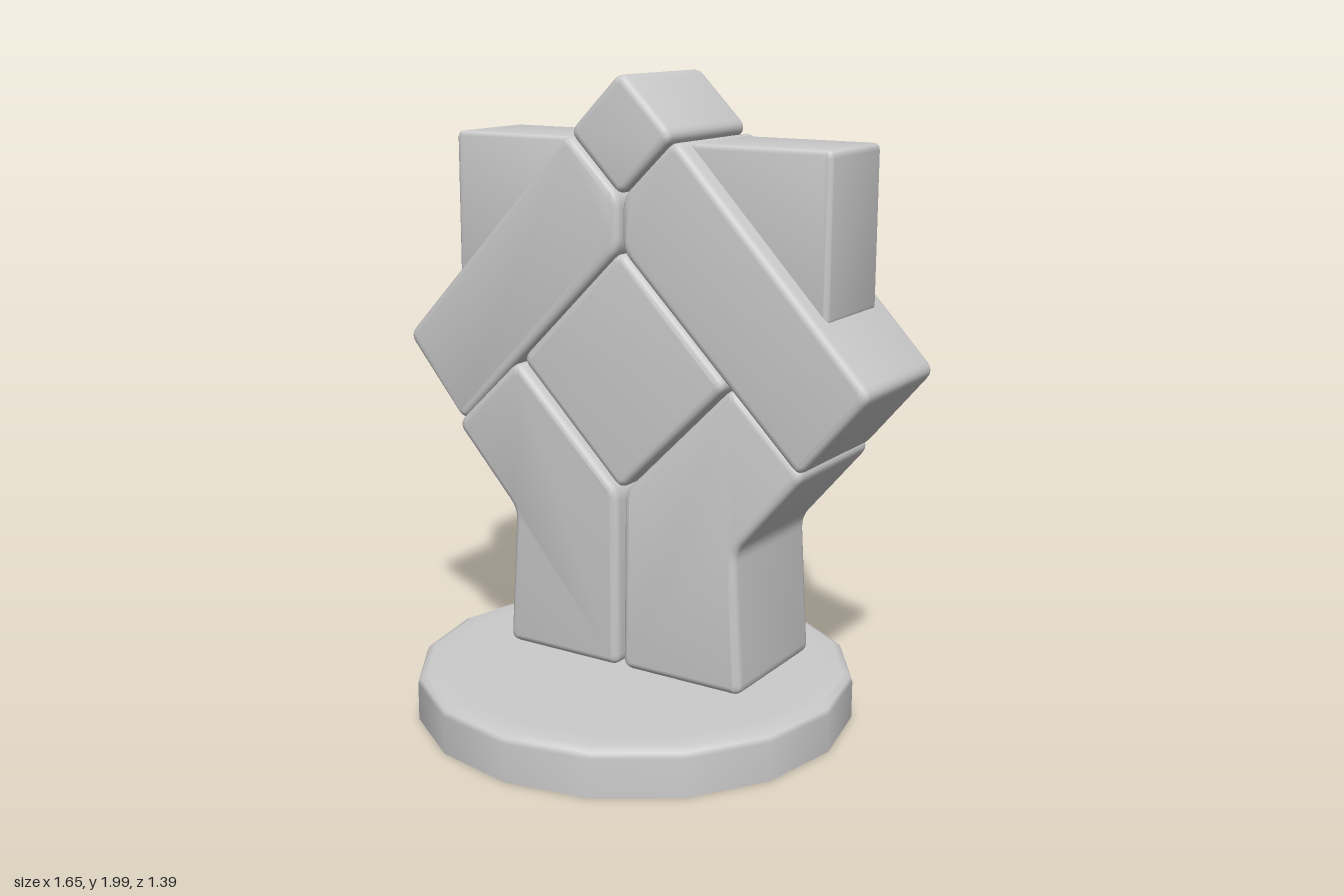
import * as THREE from 'three';
import { toCreasedNormals } from 'three/addons/utils/BufferGeometryUtils.js';

const material = new THREE.MeshStandardMaterial({ color: 0xcccccc });
const CENTRE_Z = -0.138;

// Outline with softly rounded corners
function roundedShape(points, r) {
  const shape = new THREE.Shape();
  const n = points.length;
  const v = points.map(([x, y]) => new THREE.Vector2(x, y));
  for (let i = 0; i < n; i++) {
    const p = v[i];
    const towards = (q) => p.clone().add(q.clone().sub(p).setLength(r));
    const a = towards(v[(i + n - 1) % n]);
    const b = towards(v[(i + 1) % n]);
    if (i === 0) shape.moveTo(a.x, a.y);
    else shape.lineTo(a.x, a.y);
    shape.quadraticCurveTo(p.x, p.y, b.x, b.y);
  }
  shape.closePath();
  return shape;
}

// Pillow-edged block cut from a front outline; lean slides its upper part along z
function block(name, points, { depth = 0.455, r = 0.035, bevel = 0.024, lean = 0 } = {}) {
  const geo = new THREE.ExtrudeGeometry(roundedShape(points, r), {
    depth: depth - 2 * bevel,
    bevelEnabled: true,
    bevelSize: bevel,
    bevelThickness: bevel,
    bevelOffset: -bevel,
    bevelSegments: 4,
    curveSegments: 4,
  });
  geo.translate(0, 0, CENTRE_Z - depth / 2 + bevel);
  const pos = geo.attributes.position;
  for (let i = 0; i < pos.count; i++) {
    const k = THREE.MathUtils.smoothstep(pos.getY(i), 0.55, 0.9);
    pos.setZ(i, pos.getZ(i) + lean * k);
  }
  const mesh = new THREE.Mesh(toCreasedNormals(geo, 0.6), material);
  mesh.name = name;
  return mesh;
}

const diamond = (cy, h) => [[0, cy + h], [-h, cy], [0, cy - h], [h, cy]];

export function createModel() {
  const model = new THREE.Group();
  model.name = 'blockFigure';

  // Sixteen-sided pedestal, hollow underneath
  const profile = [[0, 0.148], [0.6, 0.148], [0.665, 0.147], [0.688, 0.136], [0.695, 0.12], [0.695, 0]]
    .map(([x, y]) => new THREE.Vector2(x, y)).reverse();
  const baseMaterial = material.clone();
  baseMaterial.side = THREE.DoubleSide;
  const base = new THREE.Mesh(new THREE.LatheGeometry(profile, 16), baseMaterial);
  base.name = 'base';
  model.add(base);

  // Head and body diamonds
  model.add(block('head', diamond(1.82, 0.185)));
  model.add(block('body', diamond(1.102, 0.374)));

  // Mirrored legs, arms and shoulder boxes
  for (const side of [1, -1]) {
    const label = side > 0 ? 'left' : 'right';
    const mirror = (pts) => pts.map(([x, y]) => [x * side, y]);
    model.add(block(label + 'Leg', mirror([
      [0.008, 0.145], [0.437, 0.145], [0.408, 0.6], [0.625, 0.862], [0.378, 1.098], [0.008, 0.725],
    ]), { lean: -0.02 * side }));
    model.add(block(label + 'Arm', mirror([
      [0.006, 1.474], [0.615, 0.865], [0.838, 1.13], [0.19, 1.815], [0.006, 1.635],
    ])));
    model.add(block(label + 'ShoulderBox', mirror([
      [0.2, 1.3], [0.665, 1.3], [0.665, 1.8], [0.2, 1.8],
    ]), { depth: 0.32, r: 0.022, bevel: 0.015 }));
  }
  return model;
}
